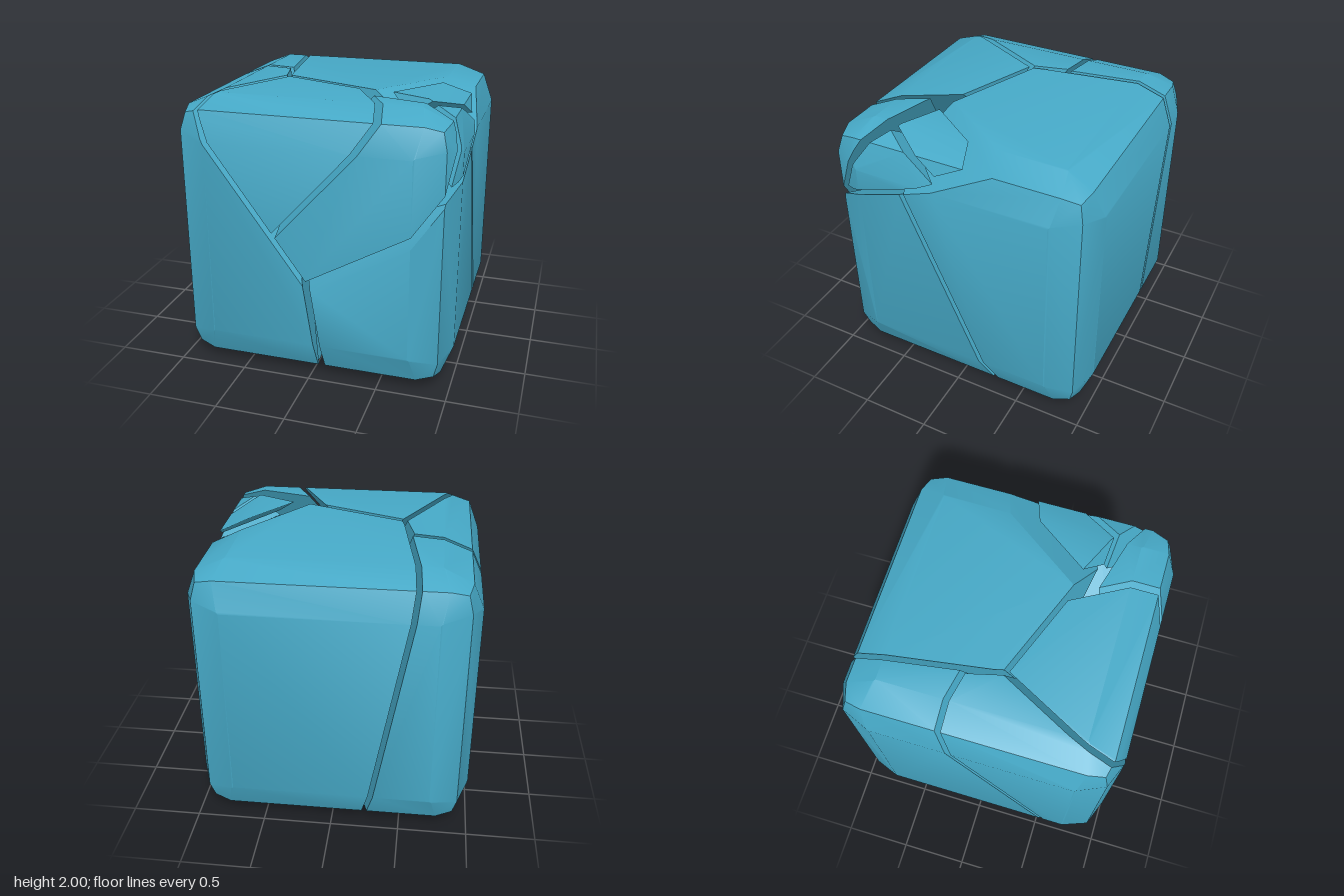
import * as THREE from 'three';
import { toCreasedNormals } from 'three/addons/utils/BufferGeometryUtils.js';

const V = (x, y, z) => new THREE.Vector3(x, y, z);

// Planes of the bevelled block: flat sides, two-step edge bevels, softened corners
function blockPlanes() {
  const planes = [];
  const add = (n, d) => {
    const normal = V(...n), len = normal.length();
    normal.divideScalar(len);
    planes.push(new THREE.Plane(normal, -d / len - normal.y)); // block centre is at y = 1
  };
  for (let a = 0; a < 3; a++) {
    const b = (a + 1) % 3, c = (a + 2) % 3;
    for (const s of [-1, 1]) {
      const n = [0, 0, 0];
      n[a] = s;
      add(n, 1);
      for (const t of [-1, 1]) {
        for (const other of [b, c]) {
          const e = [0, 0, 0];
          e[a] = 5 * s;
          e[other] = 2 * t;
          add(e, 6.44);
        }
        for (const u of [-1, 1]) {
          const k = [0, 0, 0];
          k[a] = 3 * s; k[b] = t; k[c] = u;
          add(k, 4.45);
        }
      }
    }
  }
  return planes;
}

// Crack planes, each through three points
const cracks = {
  backLeft: [V(-0.6, 2, -1), V(-0.24, 0, -1), V(-0.48, 2, -0.2)],
  left: [V(-1, 2, -0.29), V(-1, 0, 0.68), V(-0.5, 2, -0.19)],
  right: [V(1, 1.65, 0.37), V(1, 0, -0.33), V(-0.2, 0, -0.21)],
  frontLow: [V(0, 0.74, 1), V(0.1, 0.05, 0.98), V(-0.22, 1.12, 0.28)],
  topShort: [V(-0.5, 2, -0.2), V(-0.43, 2, 0.08), V(-0.245, 1.1, 0.28)],
  frontLeft: [V(-0.43, 2, 0.08), V(-0.84, 1.95, 0.93), V(-0.25, 1.08, 1)],
  topMain: [V(-0.43, 2, 0.08), V(0.22, 2, 0.33), V(-0.2, 1.1, 0.28)],
  frontUpper: [V(0.22, 2, 0.35), V(0.5, 1.95, 0.93), V(-0.25, 1.08, 1)],
  frontRight: [V(0, 0.74, 1), V(0.75, 1.2, 0.985), V(0.93, 1.44, 0.92)],
  chipBase: [V(0.95, 1.45, 0.92), V(1, 1.65, 0.37), V(0.35, 1.35, 0.36)],
  chipBack: [V(0.36, 2, 0.33), V(0.74, 2, -0.2), V(1, 1.65, 0.37)],
  chipFront: [V(0.36, 2, 0.36), V(0.98, 1.85, 0.72), V(0.95, 1.47, 0.9)],
  chipSplit: [V(0.73, 2, 0.58), V(0.97, 1.8, 0.1), V(0.5, 1.7, 0.35)],
};

// Chunks: name, a point inside, bounding cracks, and any wider gaps
const chunks = [
  ['backLeftChunk', V(-0.7, 0.5, -0.5), ['backLeft', 'left']],
  ['frontLeftChunk', V(-0.7, 1, 0.8), ['left', 'frontLow', 'topShort', 'frontLeft']],
  ['frontTopChunk', V(-0.2, 1.85, 0.8), ['frontLeft', 'topMain', 'frontUpper']],
  ['frontMiddleChunk', V(0.4, 1.5, 0.9), ['frontLeft', 'topMain', 'frontUpper', 'frontRight', 'chipFront']],
  ['topChip', V(0.75, 1.93, 0.1), ['chipBack', 'chipFront', 'chipSplit', 'chipBase'], { chipBack: 0.05 }],
  ['cornerChip', V(0.95, 1.68, 0.6), ['chipBack', 'chipFront', 'chipSplit', 'chipBase'], { chipSplit: 0.03 }],
  ['frontRightChunk', V(0.6, 0.4, 0.7), ['backLeft', 'right', 'frontLow', 'frontRight', 'chipBase']],
  ['backRightChunk', V(0.2, 1, -0.6), ['backLeft', 'right', 'topShort', 'topMain', 'chipBack']],
];

// Crack plane facing away from the chunk, pulled in by the gap
function crackPlane(name, inside, gap) {
  const plane = new THREE.Plane().setFromCoplanarPoints(...cracks[name]);
  if (plane.distanceToPoint(inside) > 0) plane.negate();
  plane.constant += gap;
  return plane;
}

// Convex solid enclosed by a set of outward planes
function solidFromPlanes(planes) {
  const faces = planes.map(() => []);
  const addPoint = (list, p) => {
    if (!list.some((q) => q.distanceToSquared(p) < 1e-8)) list.push(p);
  };
  const count = planes.length;
  for (let i = 0; i < count; i++) {
    for (let j = i + 1; j < count; j++) {
      const ij = planes[i].normal.clone().cross(planes[j].normal);
      if (ij.lengthSq() < 1e-8) continue;
      for (let k = j + 1; k < count; k++) {
        const [a, b, c] = [planes[i], planes[j], planes[k]];
        const det = ij.dot(c.normal);
        if (Math.abs(det) < 1e-5) continue;
        const p = b.normal.clone().cross(c.normal).multiplyScalar(-a.constant)
          .addScaledVector(c.normal.clone().cross(a.normal), -b.constant)
          .addScaledVector(ij, -c.constant)
          .divideScalar(det);
        if (planes.some((q) => q.distanceToPoint(p) > 1e-6)) continue;
        for (const f of [i, j, k]) addPoint(faces[f], p);
      }
    }
  }
  const positions = [];
  faces.forEach((pts, f) => {
    if (pts.length < 3) return;
    // Order the corners counter-clockwise around the face, then fan
    const n = planes[f].normal;
    const mid = pts.reduce((s, p) => s.add(p), V(0, 0, 0)).divideScalar(pts.length);
    const u = pts[0].clone().sub(mid).normalize();
    const v = n.clone().cross(u);
    const angle = (p) => {
      const d = p.clone().sub(mid);
      return Math.atan2(d.dot(v), d.dot(u));
    };
    pts.sort((p, q) => angle(p) - angle(q));
    for (let i = 1; i < pts.length - 1; i++) {
      for (const p of [pts[0], pts[i], pts[i + 1]]) positions.push(p.x, p.y, p.z);
    }
  });
  const geometry = new THREE.BufferGeometry();
  geometry.setAttribute('position', new THREE.Float32BufferAttribute(positions, 3));
  return toCreasedNormals(geometry, 0.5);
}

export function createModel() {
  const group = new THREE.Group();
  group.name = 'crackedBlock';
  const material = new THREE.MeshStandardMaterial({ color: 0x46a9c7 });
  const block = blockPlanes();
  for (const [name, inside, sides, gaps = {}] of chunks) {
    const cuts = sides.map((side) => crackPlane(side, inside, gaps[side] ?? 0.018));
    const mesh = new THREE.Mesh(solidFromPlanes([...block, ...cuts]), material);
    mesh.name = name;
    group.add(mesh);
  }
  return group;
}
